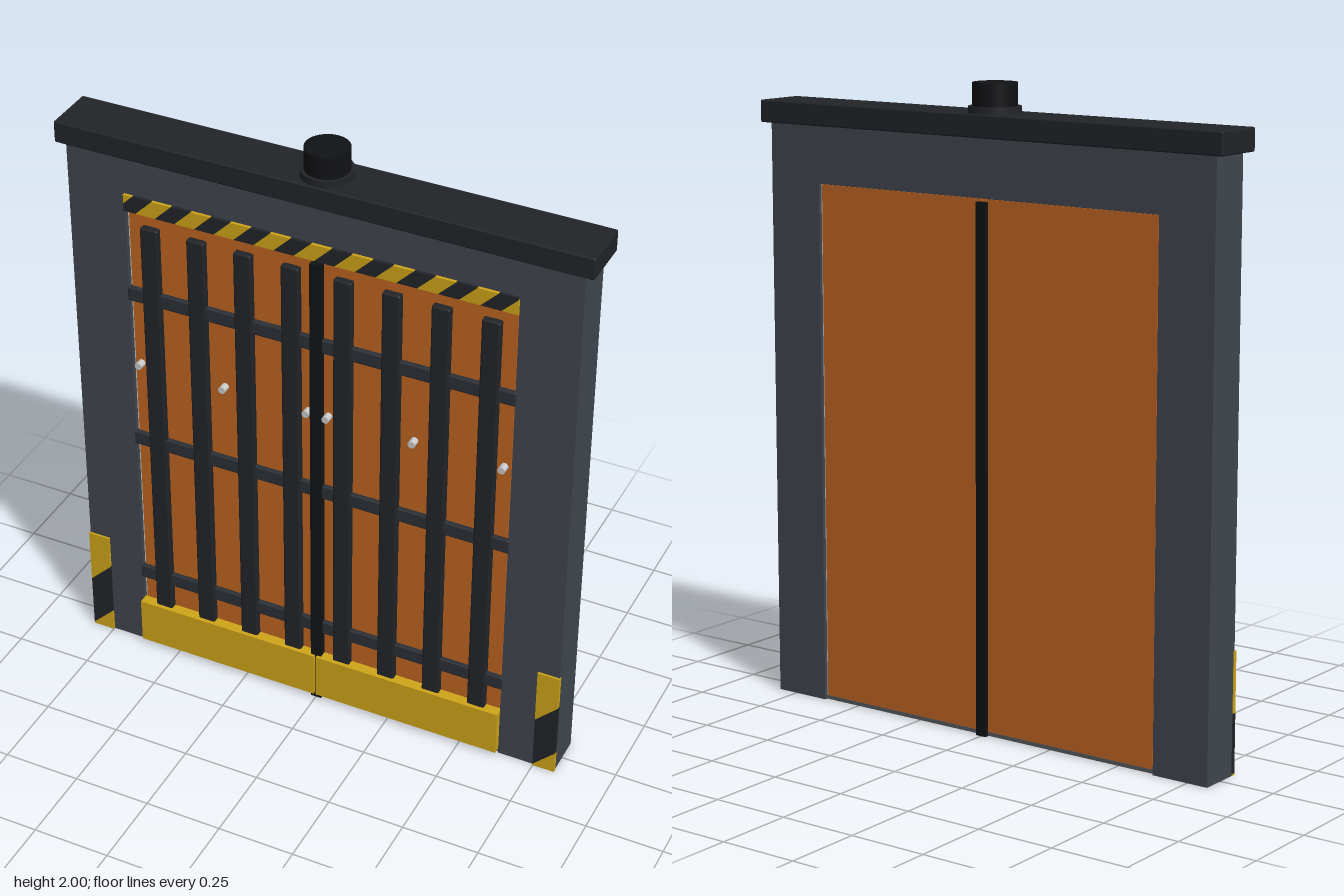
import * as THREE from 'three';
import { RoundedBoxGeometry } from 'three/addons/geometries/RoundedBoxGeometry.js';

const mat = (color) => new THREE.MeshStandardMaterial({ color });
const FRAME = mat(0x41464f), DARK = mat(0x222428), BLACK = mat(0x111214), RAIL = mat(0x2b2f35);
const ORANGE = mat(0xc06422), YELLOW = mat(0xcfa518), GREY = mat(0x55585c), STEEL = mat(0xcccccc);

export function createModel() {
  const model = new THREE.Group();
  model.name = 'industrialGate';

  const add = (name, geometry, material, x = 0, y = 0, z = 0) => {
    const mesh = new THREE.Mesh(geometry, material);
    mesh.name = name;
    mesh.position.set(x, y, z);
    model.add(mesh);
    return mesh;
  };

  // Box given by its extents; an optional bevel softens the edges
  const box = (name, material, [x0, x1], [y0, y1], [z0, z1], bevel = 0) => {
    const size = [x1 - x0, y1 - y0, z1 - z0];
    const geometry = bevel ? new RoundedBoxGeometry(...size, 2, bevel) : new THREE.BoxGeometry(...size);
    return add(name, geometry, material, (x0 + x1) / 2, (y0 + y1) / 2, (z0 + z1) / 2);
  };

  // Keep the side of a polygon where sign * (x - limit) >= 0
  const clip = (points, limit, sign) => points.flatMap((p, i) => {
    const q = points[(i + 1) % points.length];
    const dp = sign * (p.x - limit), dq = sign * (q.x - limit);
    const kept = dp >= 0 ? [p] : [];
    if (dp * dq < 0) kept.push(p.clone().lerp(q, dp / (dp - dq)));
    return kept;
  });

  // Panel of 45 degree stripes; the edges are offsets along its bottom line
  const hazardPanel = (name, x, y, z, w, h, depth, edges) => {
    const panel = new THREE.Group();
    panel.name = name;
    panel.position.set(x, y, z);
    for (let i = 0; i < edges.length - 1; i++) {
      const [a, b] = [edges[i], edges[i + 1]];
      let points = [[a, 0], [b, 0], [b + h, h], [a + h, h]].map((p) => new THREE.Vector2(...p));
      points = clip(clip(points, 0, 1), w, -1);
      if (points.length < 3) continue;
      const geometry = new THREE.ExtrudeGeometry(new THREE.Shape(points), { depth, bevelEnabled: false });
      const stripe = new THREE.Mesh(geometry, i % 2 ? DARK : YELLOW);
      stripe.name = i % 2 ? 'darkStripe' : 'yellowStripe';
      panel.add(stripe);
    }
    model.add(panel);
  };

  // Frame: portal with a door opening, cap beam and sill
  const portal = new THREE.Shape([
    [-0.82, 0], [-0.63, 0], [-0.63, 1.66], [0.63, 1.66],
    [0.63, 0], [0.82, 0], [0.82, 1.85], [-0.82, 1.85],
  ].map((p) => new THREE.Vector2(...p)));
  add('frame', new THREE.ExtrudeGeometry(portal, { depth: 0.138, bevelEnabled: false }), FRAME, 0, 0, -0.072);
  box('capBeam', DARK, [-0.85, 0.85], [1.84, 1.91], [-0.09, 0.082], 0.005);
  box('sill', GREY, [-0.63, 0.63], [0.002, 0.014], [-0.066, 0.064]);

  // Beacon on the cap beam
  add('beaconBase', new THREE.CylinderGeometry(0.08, 0.08, 0.02, 32), DARK, 0, 1.92, -0.004);
  add('beacon', new THREE.CylinderGeometry(0.068, 0.068, 0.075, 32), BLACK, 0, 1.9625, -0.004);

  // Door leaves, mirrored about the middle
  for (const s of [-1, 1]) {
    const span = (a, b) => (s > 0 ? [a, b] : [-b, -a]);
    box('doorLeaf', ORANGE, span(0.005, 0.624), [0.014, 1.658], [-0.064, 0.055]);
    box('doorEdge', STEEL, span(0.624, 0.63), [0.014, 1.658], [-0.06, 0.05]);
    box('kickPlate', YELLOW, span(0.004, 0.63), [0.018, 0.175], [0.055, 0.09]);
    for (const x of [0.085, 0.24, 0.395, 0.55]) {
      box('verticalBar', DARK, span(x - 0.029, x + 0.029), [0.16, 1.615], [0.05, 0.077], 0.006);
    }
    for (const y of [0.287, 0.825, 1.363]) {
      box('crossRail', RAIL, span(0.004, 0.634), [y - 0.024, y + 0.024], [0.048, 0.07], 0.005);
    }
    for (const x of [0.033, 0.315, 0.603]) {
      const stud = add('stud', new THREE.CylinderGeometry(0.012, 0.012, 0.03, 16), STEEL, s * x, 1.11, 0.066);
      stud.rotation.x = Math.PI / 2;
    }
    // Warning panel at the foot of the post
    hazardPanel('postWarningPanel', s > 0 ? 0.749 : -0.822, 0.001, 0.06, 0.073, 0.38, 0.013,
      [-0.38, -0.19, -0.005, 0.073]);
  }

  // Seal where the leaves meet, and the warning strip over the doors
  box('centreSeal', BLACK, [-0.018, 0.018], [0, 1.65], [-0.078, 0.08]);
  hazardPanel('lintelWarningStrip', -0.63, 1.66, 0.06, 1.26, 0.055, 0.016,
    Array.from({ length: 22 }, (_, i) => -0.09 + 0.065 * i));

  return model;
}
